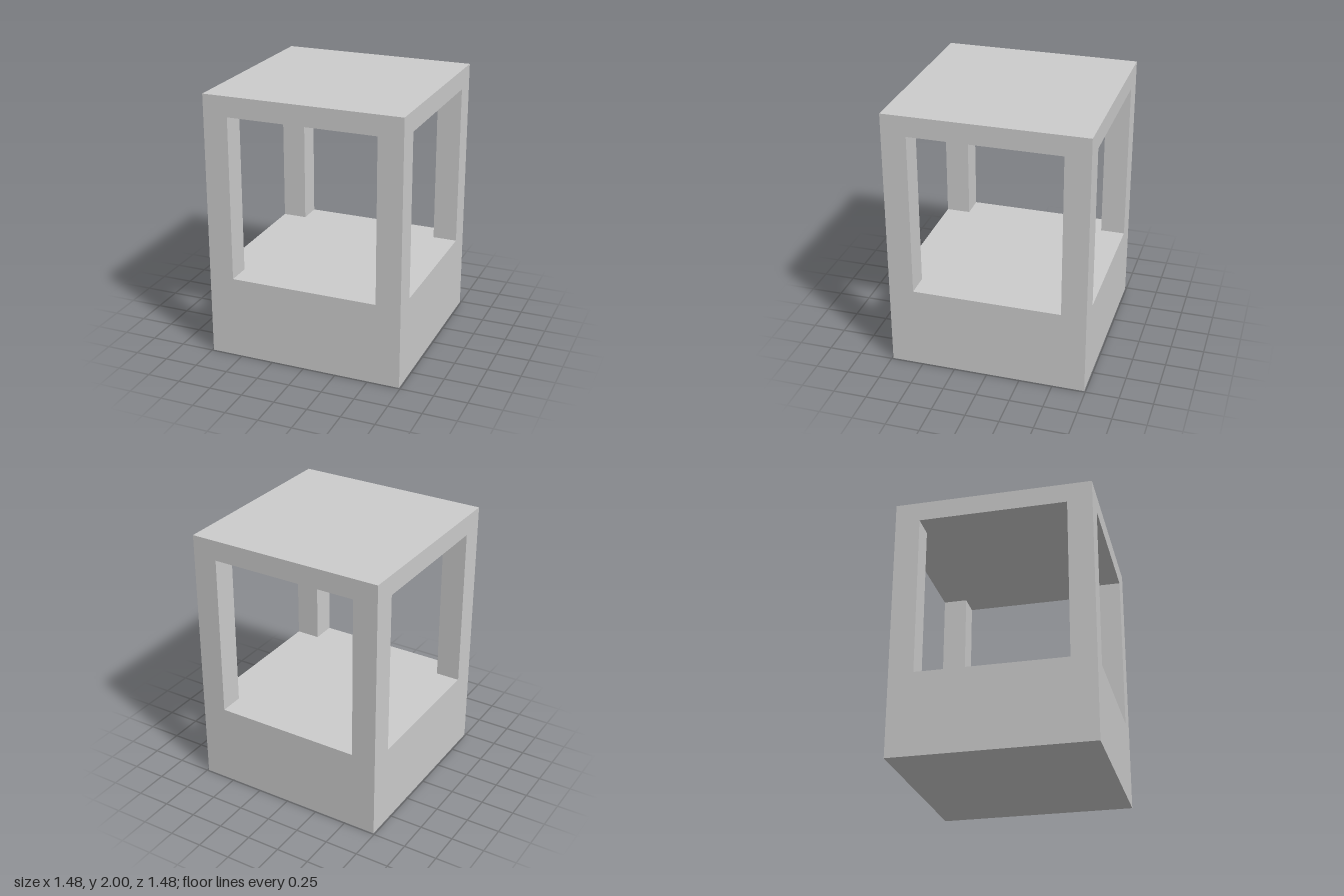
import * as THREE from 'three';

const WIDTH = 1.48;   // square footprint
const BASE_TOP = 0.62;
const ROOF_BOTTOM = 1.85;
const HEIGHT = 2;
const POST = 0.185;   // square post thickness

export function createModel() {
  const model = new THREE.Group();
  model.name = 'openPavilion';
  const material = new THREE.MeshStandardMaterial({ color: 0xcccccc, flatShading: true });

  // Square block standing between two heights
  function addBlock(name, size, bottom, top, x = 0, z = 0) {
    const mesh = new THREE.Mesh(new THREE.BoxGeometry(size, top - bottom, size), material);
    mesh.name = name;
    mesh.position.set(x, (bottom + top) / 2, z);
    model.add(mesh);
  }

  // Solid plinth and flat roof slab
  addBlock('base', WIDTH, 0, BASE_TOP);
  addBlock('roof', WIDTH, ROOF_BOTTOM, HEIGHT);

  // Four corner posts, flush with the outer faces
  const offset = (WIDTH - POST) / 2;
  for (const [side, sx] of [['Left', 1], ['Right', -1]]) {
    for (const [end, sz] of [['front', 1], ['back', -1]]) {
      addBlock(`${end}${side}Post`, POST, BASE_TOP, ROOF_BOTTOM, sx * offset, sz * offset);
    }
  }

  return model;
}
